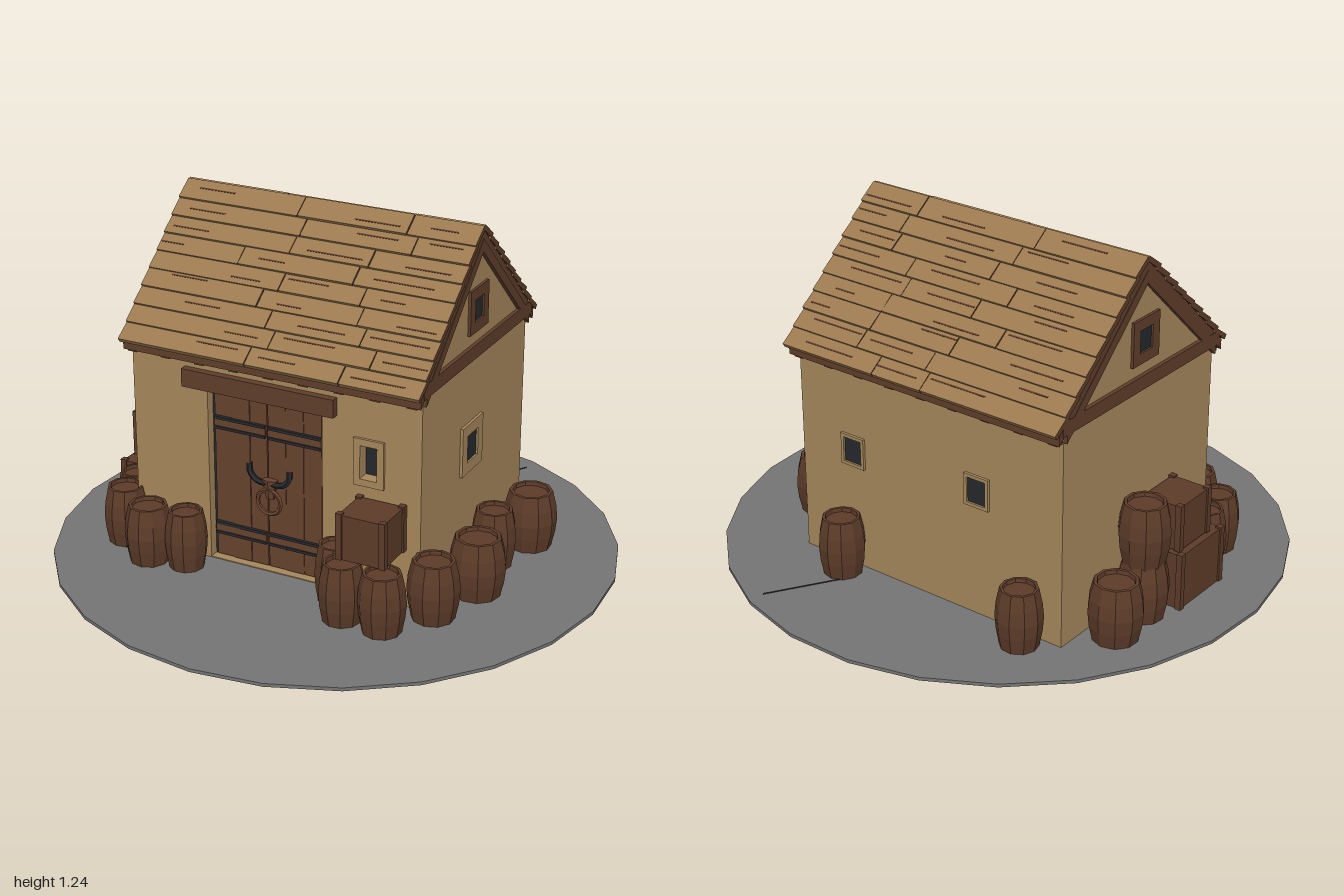
import * as THREE from 'three';

const mat = (name, color) => {
  const m = new THREE.MeshStandardMaterial({ color, flatShading: true });
  m.name = name;
  return m;
};

export function createModel() {
  const root = new THREE.Group();
  root.name = 'storehouse';
  const plaster = mat('plaster', 0xa6885c);
  const roofWood = mat('roofWood', 0x9c7a50);
  const timber = mat('timber', 0x5f3e2a);
  const doorWood = mat('doorWood', 0x66422e);
  const barrelWood = mat('barrelWood', 0x5d3c29);
  const stone = mat('stone', 0x747474);
  const earth = mat('earth', 0x74593c);
  const iron = mat('iron', 0x25282b);

  let seed = 7;
  const rnd = () => (seed = (seed * 16807) % 2147483647) / 2147483647;

  const add = (name, geo, material, parent = root) => {
    const m = new THREE.Mesh(geo, material);
    m.name = name;
    parent.add(m);
    return m;
  };
  // box given by its limits on each axis
  const box = (name, material, [x0, x1], [y0, y1], [z0, z1], parent = root) => {
    const m = add(name, new THREE.BoxGeometry(x1 - x0, y1 - y0, z1 - z0), material, parent);
    m.position.set((x0 + x1) / 2, (y0 + y1) / 2, (z0 + z1) / 2);
    return m;
  };
  // (z, y) outline extended along x
  const prism = (name, material, pts, x0, x1) => {
    const shape = new THREE.Shape(pts.map(p => new THREE.Vector2(...p)));
    const geo = new THREE.ExtrudeGeometry(shape, { depth: x1 - x0, bevelEnabled: false });
    geo.rotateY(-Math.PI / 2).translate(x1, 0, 0);
    return add(name, geo, material);
  };
  const rectHole = (x0, x1, y0, y1) => new THREE.Path([[x0, y0], [x0, y1], [x1, y1], [x1, y0]].map(p => new THREE.Vector2(...p)));

  // Ground disc with a slightly uneven rim
  const disc = new THREE.CylinderGeometry(1, 1, 0.012, 25).translate(0, 0.006, 0);
  add('ground', disc, [stone, stone, earth]);
  const crack = box('groundCrack', iron, [-0.003, 0.003], [0.011, 0.014], [-0.15, 0.15]);
  crack.position.set(0.29, 0.0125, -0.74);
  crack.rotation.y = -0.55;

  // Walls: gabled body, then the front wall with door and window openings
  prism('walls', plaster, [[-0.52, 0.01], [0.28, 0.01], [0.28, 0.82], [-0.1, 1.19], [-0.52, 0.79]], -0.62, 0.48);
  const front = new THREE.Shape([[-0.62, 0.01], [0.48, 0.01], [0.48, 0.79], [-0.62, 0.79]].map(p => new THREE.Vector2(...p)));
  front.holes.push(rectHole(-0.325, 0.115, 0.015, 0.66), rectHole(0.26, 0.322, 0.45, 0.57));
  add('frontWall', new THREE.ExtrudeGeometry(front, { depth: 0.04, bevelEnabled: false }).translate(0, 0, 0.28), plaster);
  box('frontWindow', iron, [0.255, 0.327], [0.445, 0.575], [0.279, 0.285]);

  // Dark pane inside a raised frame, facing outward at the given turn
  const windowAt = (name, x, y, z, turn, w, h, border, frameMat) => {
    const g = new THREE.Group();
    g.name = name;
    g.position.set(x, y, z);
    g.rotation.y = turn;
    root.add(g);
    if (name !== 'frontWindowFrame') box('pane', iron, [-w / 2, w / 2], [-h / 2, h / 2], [-0.003, 0.003], g);
    const W = w / 2 + border, H = h / 2 + border;
    for (const s of [-1, 1]) {
      const sx = [s * w / 2, s * W].sort((a, b) => a - b), sy = [s * h / 2, s * H].sort((a, b) => a - b);
      box('jamb', frameMat, sx, [-H, H], [-0.005, 0.01], g);
      box('rail', frameMat, [-w / 2, w / 2], sy, [-0.005, 0.01], g);
    }
  };
  windowAt('frontWindowFrame', 0.291, 0.51, 0.32, 0, 0.062, 0.12, 0.025, plaster);
  windowAt('sideWindow', 0.48, 0.46, -0.065, Math.PI / 2, 0.085, 0.1, 0.04, plaster);
  windowAt('gableWindowLeft', 0.48, 0.95, -0.092, Math.PI / 2, 0.07, 0.08, 0.038, timber);
  windowAt('gableWindowRight', -0.62, 0.95, -0.092, -Math.PI / 2, 0.07, 0.08, 0.038, timber);
  windowAt('backWindowLeft', 0.25, 0.45, -0.52, Math.PI, 0.075, 0.09, 0.012, plaster);
  windowAt('backWindowRight', -0.28, 0.47, -0.52, Math.PI, 0.075, 0.09, 0.012, plaster);

  // Double door: planks, iron bands, edge straps
  box('doorGap', iron, [-0.325, 0.115], [0.015, 0.66], [0.279, 0.285]);
  for (let i = 0; i < 6; i++) {
    const x = -0.31 + i * 0.069;
    box('doorPlank', doorWood, [x, x + (i === 2 ? 0.065 : 0.0675)], [0.022, 0.65], [0.28, 0.298 + 0.003 * rnd()]);
  }
  for (const y of [0.53, 0.13]) for (const [x0, x1] of [[-0.31, -0.11], [-0.1, 0.103]]) {
    box('doorBoard', doorWood, [x0, x1], [y - 0.02, y + 0.02], [0.29, 0.307]);
    for (const d of [-0.018, 0.018]) box('doorBand', iron, [x0, x1], [y + d - 0.005, y + d + 0.005], [0.29, 0.311]);
  }
  box('lintel', timber, [-0.41, 0.17], [0.655, 0.72], [0.3, 0.348]);
  // Horned knocker with a ring
  for (const s of [-1, 1]) {
    const horn = new THREE.CatmullRomCurve3([[0.01, 0.345], [0.05, 0.35], [0.075, 0.375], [0.078, 0.41]]
      .map(([x, y]) => new THREE.Vector3(-0.09 + s * x, y, 0.315)));
    add('knockerHorn', new THREE.TubeGeometry(horn, 8, 0.011, 5), iron);
  }
  const head = add('knockerHead', new THREE.CylinderGeometry(0.03, 0.016, 0.07, 6), doorWood);
  head.position.set(-0.09, 0.325, 0.312);
  head.scale.z = 0.6;
  add('knockerRing', new THREE.TorusGeometry(0.045, 0.008, 5, 14).translate(-0.09, 0.28, 0.32), doorWood);

  // Roof deck and gable trim
  const M = 0.94, RZ = -0.1;
  const chevron = (top, bottom, d) => [[RZ - d, bottom - M * d], [RZ, bottom], [RZ + d, bottom - M * d],
    [RZ + d, top - M * d], [RZ, top], [RZ - d, top - M * d]];
  prism('roofDeck', timber, chevron(1.222, 1.185, 0.458), -0.632, 0.492);
  for (const [x0, x1] of [[0.475, 0.494], [-0.634, -0.615]]) {
    prism('gableRafters', timber, chevron(1.19, 1.145, 0.42), x0, x1);
    box('gableBeam', timber, [x0, x1], [0.78, 0.83], [-0.54, 0.34]);
  }
  for (let i = 0; i < 9; i++) {
    const x = -0.6 + i * 0.132;
    for (const z of [0.33, -0.53]) box('rafterEnd', timber, [x - 0.018, x + 0.018], [0.748, 0.79], [z - 0.022, z + 0.022]);
  }
  // Overlapping roof boards, laid in courses on both slopes
  const boardMats = [timber, timber, roofWood, timber, roofWood, roofWood];
  const ang = Math.atan(M), rows = 9, step = 0.638 / rows;
  for (const s of [-1, 1]) {
    const slope = new THREE.Group();
    slope.name = s > 0 ? 'frontSlope' : 'backSlope';
    slope.position.set(0, 1.222, RZ);
    slope.rotation.x = s * ang;
    root.add(slope);
    for (let r = 0; r < rows; r++) {
      const cuts = [-0.635, -0.32 + 0.25 * rnd(), 0.1 + 0.2 * rnd(), 0.496];
      for (let k = 0; k < 3; k++) {
        const len = cuts[k + 1] - cuts[k] - (k < 2 ? 0.003 : 0);
        const b = add('roofBoard', new THREE.BoxGeometry(len, 0.018, step + 0.012), boardMats, slope);
        b.position.set(cuts[k] + len / 2, 0.009 + 0.003 * rnd(), s * (r + 0.5) * step);
        b.rotation.x = -s * (0.1 + 0.05 * rnd());
        // splits in the grain
        const c = 0.08 + 0.14 * rnd();
        const split = add('boardSplit', new THREE.BoxGeometry(Math.min(c, len * 0.8), 0.003, 0.005), timber, b);
        split.position.set((rnd() - 0.5) * (len - Math.min(c, len * 0.8)), 0.009, (rnd() - 0.5) * 0.04);
      }
    }
  }

  // Barrels: [x, z, radius, base height]
  const barrels = [
    [-0.5, -0.585, 0.08, 0], [0.26, -0.585, 0.082, 0],
    [-0.72, -0.36, 0.095, 0], [-0.71, -0.19, 0.09, 0], [-0.71, -0.19, 0.09, 0.21],
    [-0.69, 0.22, 0.072, 0], [-0.66, 0.34, 0.08, 0], [-0.51, 0.43, 0.085, 0], [-0.37, 0.41, 0.075, 0],
    [0.2, 0.39, 0.07, 0], [0.28, 0.495, 0.08, 0], [0.43, 0.5, 0.082, 0], [0.54, 0.34, 0.09, 0],
    [0.6, 0.12, 0.1, 0], [0.565, -0.095, 0.08, 0], [0.62, -0.29, 0.095, 0],
  ];
  const profile = [[0, 0], [0.8, 0], [0.95, 0.065], [1, 0.115], [0.95, 0.165], [0.8, 0.222], [0.68, 0.222], [0.66, 0.208], [0, 0.208]];
  for (const [x, z, r, y] of barrels) {
    const geo = new THREE.LatheGeometry(profile.map(([a, h]) => new THREE.Vector2(a * r, h)), 10);
    const b = add('barrel', geo, barrelWood);
    b.position.set(x, y + 0.003, z);
    b.rotation.y = rnd() * 6;
  }

  // Crates with corner posts
  const crate = (xr, yr, zr) => {
    const t = 0.006;
    box('crate', barrelWood, [xr[0] + t, xr[1] - t], [yr[0], yr[1] - t], [zr[0] + t, zr[1] - t]);
    for (const x of [xr[0], xr[1] - 0.022]) for (const z of [zr[0], zr[1] - 0.022])
      box('cratePost', barrelWood, [x, x + 0.022], yr, [z, z + 0.022]);
  };
  crate([-0.8, -0.622], [0.01, 0.22], [-0.1, 0.16]);
  crate([-0.78, -0.622], [0.22, 0.39], [-0.085, 0.1]);
  crate([0.25, 0.43], [0.222, 0.39], [0.322, 0.485]);
  return root;
}
